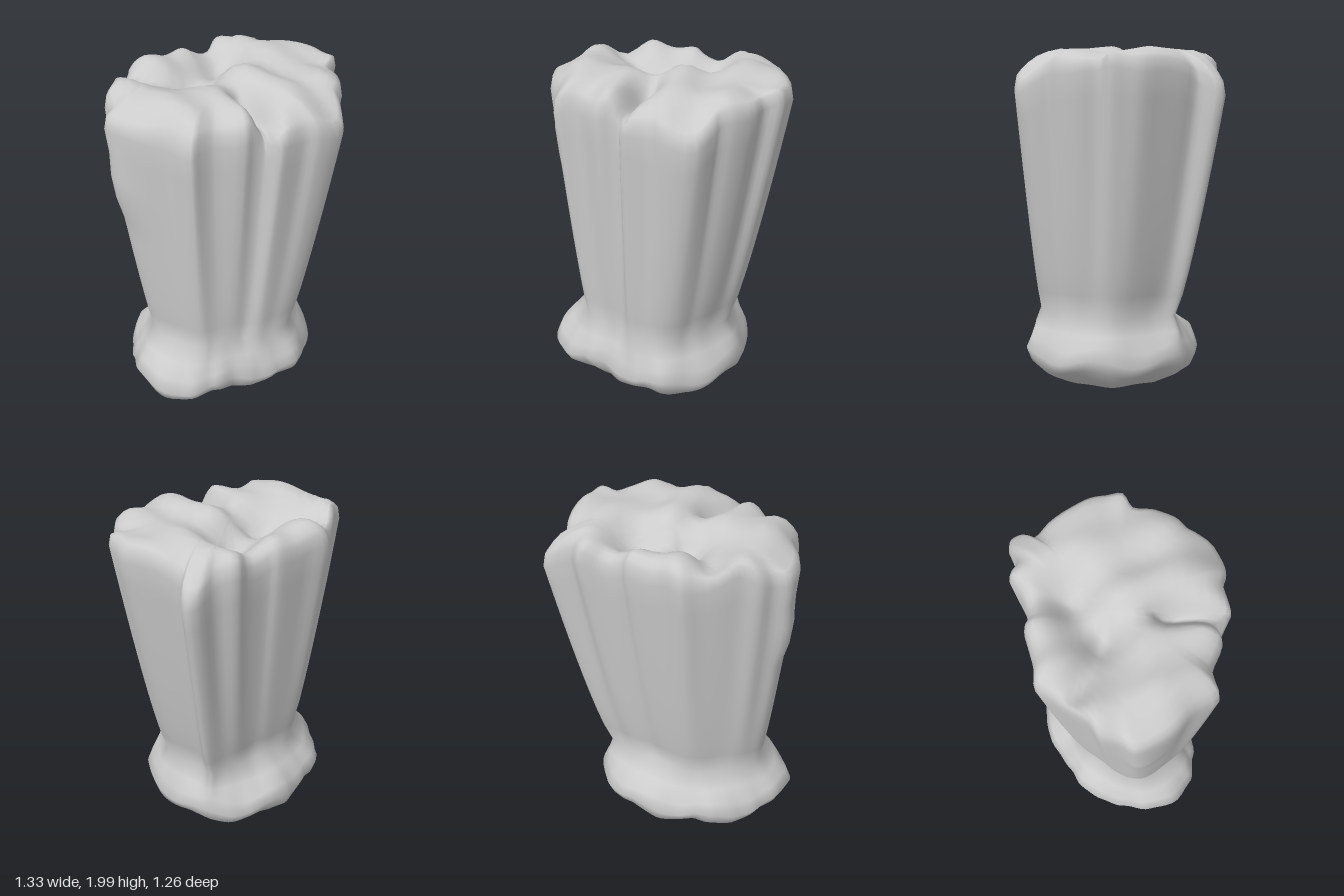
import * as THREE from 'three';

// crown outline as x, z pairs, running from +x towards +z
const CROWN = [
  0.665, -0.1, 0.61, -0.03, 0.63, 0.08, 0.61, 0.2, 0.57, 0.27, 0.57, 0.32, 0.55, 0.43, 0.41, 0.52, 0.33, 0.52, 0.25, 0.56,
  0.18, 0.59, 0.12, 0.525, 0.06, 0.54, 0, 0.58, -0.15, 0.56, -0.22, 0.59, -0.28, 0.625, -0.38, 0.52, -0.5, 0.46, -0.6, 0.37,
  -0.66, 0.28, -0.63, 0.2, -0.64, 0.11, -0.59, 0.04, -0.56, -0.04, -0.5, -0.17, -0.47, -0.26, -0.36, -0.3, -0.27, -0.35,
  -0.18, -0.4, -0.12, -0.4, 0, -0.47, 0.07, -0.55, 0.18, -0.54, 0.27, -0.62, 0.33, -0.63, 0.36, -0.59, 0.34, -0.5,
  0.42, -0.44, 0.53, -0.34, 0.61, -0.26, 0.64, -0.18,
];
// foot radii every 15 degrees about the stem axis
const FOOT = [0.54, 0.55, 0.54, 0.56, 0.51, 0.48, 0.47, 0.53, 0.61, 0.65, 0.63, 0.58,
  0.55, 0.53, 0.48, 0.47, 0.49, 0.5, 0.52, 0.54, 0.55, 0.54, 0.53, 0.54];
const AXIS = { x: -0.03, z: 0.09 };

const lerp = THREE.MathUtils.lerp;
const bell = (d, w) => Math.exp(-(d * d) / (w * w));

// distance from a point to a line segment, used for the creases
function segment(x, z, ax, az, bx, bz) {
  const dx = bx - ax, dz = bz - az;
  const t = THREE.MathUtils.clamp(((x - ax) * dx + (z - az) * dz) / (dx * dx + dz * dz), 0, 1);
  return Math.hypot(x - ax - t * dx, z - az - t * dz);
}

// height of the lumpy top
function topHeight(x, z) {
  return 1.955
    + 0.025 * Math.sin(9 * x + 1) * Math.cos(10 * z) + 0.018 * Math.sin(19 * x - 12 * z)
    - 0.16 * bell(Math.hypot(x, z + 0.18), 0.14)
    - 0.11 * bell(Math.hypot(x + 0.15, z - 0.02), 0.13)
    - 0.13 * bell(segment(x, z, 0.06, 0.28, 0.14, 0.55), 0.06)
    - 0.05 * bell(segment(x, z, -0.18, 0, -0.45, -0.06), 0.07)
    - 0.09 * bell(Math.hypot(x - 0.47, z - 0.42), 0.16)
    - 0.08 * bell(Math.hypot(x - 0.33, z + 0.62), 0.1);
}

function footRadius(angle) {
  const u = ((angle / (Math.PI * 2) + 1) % 1) * FOOT.length;
  const i = Math.floor(u), f = u - i, s = f * f * (3 - 2 * f);
  return lerp(FOOT[i % FOOT.length], FOOT[(i + 1) % FOOT.length], s);
}

// one vertical strip of points, from the foot up over the rim to the middle
function column({ x, z }, soft) {
  const neckX = AXIS.x + soft.x * 0.665, neckZ = AXIS.z + soft.z * 0.7;
  const angle = Math.atan2(neckZ - AXIS.z, neckX - AXIS.x);
  const r = footRadius(angle), c = Math.cos(angle), s = Math.sin(angle);
  const points = [[0, 0, 0.08]];

  // rounded lumpy foot
  for (const [k, y] of [[0.4, 0.022], [0.62, 0.055], [0.82, 0.115], [0.95, 0.175], [1, 0.24], [0.95, 0.31]]) {
    const lump = 0.024 * Math.sin(7 * angle + 9 * y) * k ** 3;
    points.push([AXIS.x * k + c * r * k, y + lump, 0.08 + (AXIS.z - 0.08) * k + s * r * k]);
  }
  const footX = AXIS.x + c * r, footZ = AXIS.z + s * r;
  points.push([lerp(neckX, footX, 0.45), 0.385, lerp(neckZ, footZ, 0.45)]);

  // ribbed stem, flaring quickly at first and more slowly towards the crown
  const slump = 0.05 + 0.07 * Math.abs(s);
  const rim = topHeight(x, z) - slump - 0.05;
  for (let j = 0; j <= 10; j++) {
    const t = j / 10, y = lerp(0.47, rim, t), flare = t ** 0.8;
    const knob = 1 + 0.05 * bell(Math.hypot(x + 0.64, z - 0.33, y - 1.47), 0.12);
    points.push([lerp(neckX, x, flare) * knob, y, lerp(neckZ, z, flare) * knob]);
  }

  // rounded rim and hollowed top
  for (const k of [0.98, 0.94, 0.88, 0.8, 0.7, 0.6, 0.5, 0.4, 0.3, 0.2, 0.1, 0]) {
    points.push([x * k, topHeight(x * k, z * k) - slump * k ** 10, z * k]);
  }
  return points;
}

function stumpGeometry() {
  const outline = [];
  for (let i = 0; i < CROWN.length; i += 2) outline.push(new THREE.Vector3(CROWN[i], 0, CROWN[i + 1]));
  const curve = new THREE.CatmullRomCurve3(outline, true);
  const count = outline.length * 3;
  const positions = [], index = [];
  let rows = 0;
  for (let i = 0; i < count; i++) {
    const u = i / count;
    // the ribs soften towards the neck
    const soft = new THREE.Vector3();
    for (const d of [-0.024, -0.012, 0, 0.012, 0.024]) soft.addScaledVector(curve.getPoint((u + d + 1) % 1), 0.2);
    const points = column(curve.getPoint(u), soft);
    rows = points.length;
    positions.push(...points.flat());
  }
  for (let i = 0; i < count; i++) {
    for (let j = 0; j < rows - 1; j++) {
      const a = i * rows + j, b = ((i + 1) % count) * rows + j;
      if (j < rows - 2) index.push(a, a + 1, b + 1);
      if (j > 0) index.push(a, b + 1, b);
    }
  }
  // all strips share one vertex at each pole
  const shared = index.map((v) => (v % rows === 0 ? 0 : v % rows === rows - 1 ? rows - 1 : v));
  const geometry = new THREE.BufferGeometry();
  geometry.setAttribute('position', new THREE.Float32BufferAttribute(positions, 3));
  geometry.setIndex(shared);
  geometry.computeVertexNormals();
  return geometry;
}

export function createModel() {
  const group = new THREE.Group();
  group.name = 'lumpyStump';
  const stump = new THREE.Mesh(stumpGeometry(), new THREE.MeshStandardMaterial({ color: 0xcccccc }));
  stump.name = 'stump';
  group.add(stump);
  return group;
}
